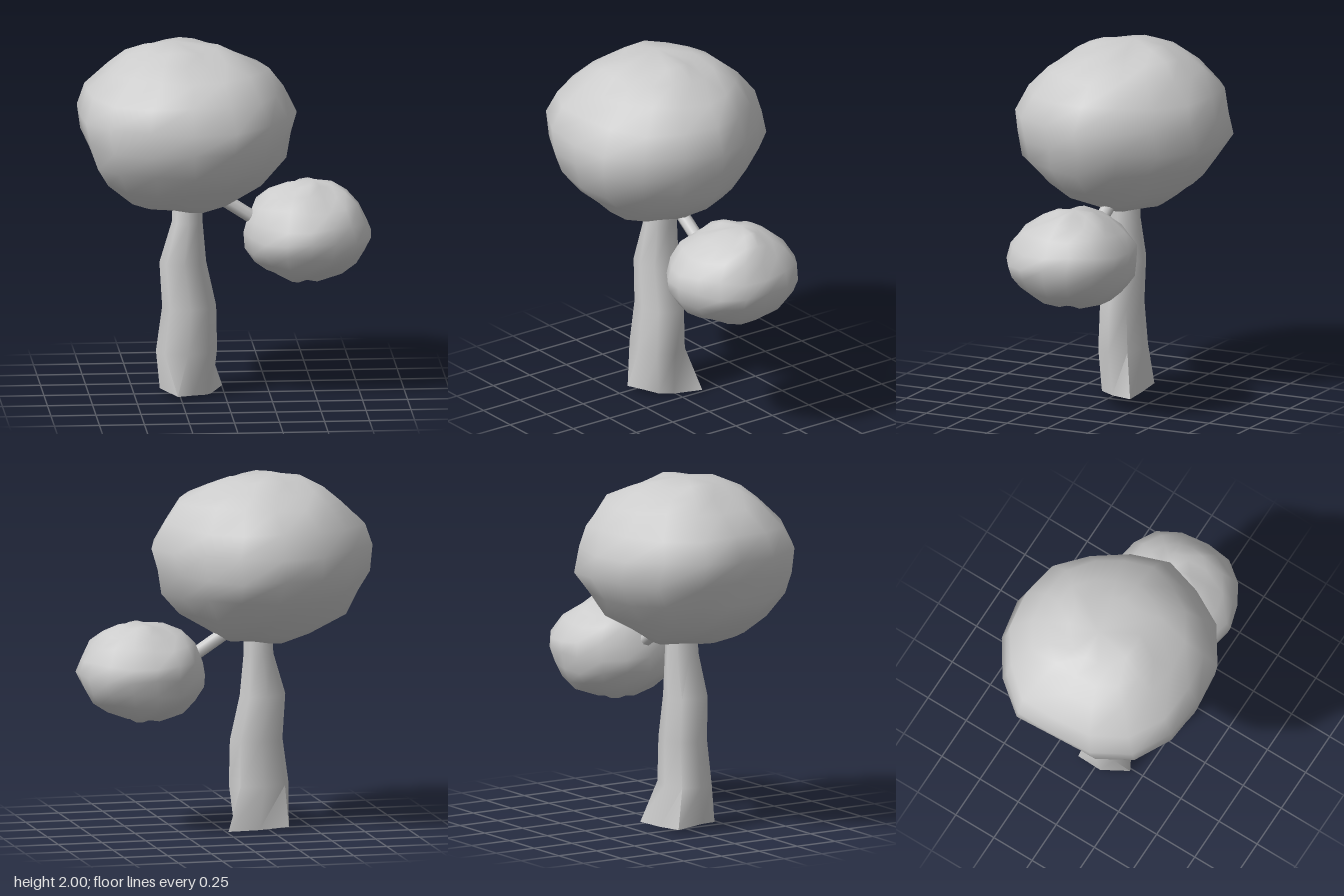
import * as THREE from 'three';
import { toCreasedNormals } from 'three/addons/utils/BufferGeometryUtils.js';

// Ring of points running from +x towards +z, fitted to a box and shaped by outline factors
function ring([y, x0, x1, z0, z1], outline, bump = 0) {
  const n = outline.length;
  return outline.map((f, j) => {
    const a = (j / n) * Math.PI * 2;
    const b = f + bump * Math.sin(3 * a + y * 17) * Math.cos(2 * a - y * 11);
    return [
      (x0 + x1) / 2 + ((x1 - x0) / 2) * b * Math.cos(a),
      y + bump * 0.5 * Math.sin(4 * a + y * 23),
      (z0 + z1) / 2 + ((z1 - z0) / 2) * b * Math.sin(a),
    ];
  });
}

// Closed skin over rings listed from bottom to top
function loft(rings, bottom, top) {
  const n = rings[0].length;
  const points = [...rings.flat(), bottom, top];
  const low = points.length - 2, high = points.length - 1;
  const last = (rings.length - 1) * n;
  const index = [];
  for (let j = 0; j < n; j++) {
    const k = (j + 1) % n;
    for (let i = 0; i < rings.length - 1; i++) {
      const a = i * n + j, b = i * n + k;
      index.push(a, a + n, b, b, a + n, b + n);
    }
    index.push(low, j, k, high, last + k, last + j);
  }
  const geometry = new THREE.BufferGeometry();
  geometry.setAttribute('position', new THREE.Float32BufferAttribute(points.flat(), 3));
  geometry.setIndex(index);
  geometry.computeVertexNormals();
  return geometry;
}

export function createModel() {
  const group = new THREE.Group();
  const material = new THREE.MeshStandardMaterial({ color: 0xcccccc });
  const add = (name, geometry) => {
    const mesh = new THREE.Mesh(geometry, material);
    mesh.name = name;
    group.add(mesh);
  };

  // Large crown: [y, left, right, back, front]
  const largeOutline = [1, 0.97, 1, 1.02, 1, 1.03, 1.06, 1.03, 0.97, 1.05, 1.02, 1.02, 1, 1.02, 0.95, 0.94];
  const largeRings = [
    [1.075, -0.42, 0.0, -0.2, 0.2],
    [1.12, -0.53, 0.08, -0.27, 0.33],
    [1.22, -0.68, 0.24, -0.41, 0.44],
    [1.34, -0.74, 0.34, -0.5, 0.55],
    [1.47, -0.79, 0.37, -0.59, 0.59],
    [1.6, -0.82, 0.4, -0.56, 0.59],
    [1.73, -0.77, 0.34, -0.53, 0.53],
    [1.85, -0.65, 0.25, -0.42, 0.41],
    [1.92, -0.55, 0.09, -0.32, 0.31],
    [1.97, -0.44, -0.03, -0.2, 0.19],
  ].map((r) => ring(r, largeOutline, 0.018));
  add('largeCrown', loft(largeRings, [-0.21, 1.065, 0], [-0.28, 2, -0.02]));

  // Small crown
  const smallOutline = [1, 1.02, 1, 0.98, 1, 1, 1.02, 0.98, 1, 1.02, 1, 1.02, 1, 1.01, 1.03, 1.02];
  const smallRings = [
    [0.645, 0.35, 0.54, -0.11, 0.1],
    [0.69, 0.24, 0.66, -0.24, 0.21],
    [0.75, 0.17, 0.74, -0.3, 0.3],
    [0.82, 0.12, 0.79, -0.34, 0.355],
    [0.9, 0.11, 0.82, -0.36, 0.365],
    [0.98, 0.125, 0.79, -0.36, 0.35],
    [1.07, 0.17, 0.75, -0.29, 0.28],
    [1.13, 0.24, 0.68, -0.21, 0.17],
    [1.175, 0.35, 0.6, -0.13, 0.07],
  ].map((r) => ring(r, smallOutline, 0.02));
  add('smallCrown', loft(smallRings, [0.44, 0.635, 0], [0.5, 1.195, -0.04]));

  // Trunk: spreading root corners below, rounder towards the top
  const base = [
    [-0.07, 0, 0.01], [-0.1, 0.01, 0.09], [-0.18, 0.015, 0.13], [-0.27, 0.02, 0.18],
    [-0.36, 0.04, 0.04], [-0.35, 0.02, -0.11], [-0.18, 0.01, -0.12], [0, 0.01, -0.135],
  ];
  const trunkOutline = [1, 0.97, 1, 1.06, 1, 1.05, 1, 1.05];
  const trunkRings = [
    [0.25, -0.38, -0.04, -0.11, 0.15],
    [0.5, -0.345, -0.045, -0.1, 0.135],
    [0.75, -0.36, -0.1, -0.1, 0.125],
    [0.98, -0.29, -0.12, -0.09, 0.1],
    [1.25, -0.28, -0.12, -0.08, 0.08],
  ].map((r) => ring(r, trunkOutline));
  const trunk = loft([base, ...trunkRings], [-0.2, 0.03, 0], [-0.2, 1.25, 0]);
  add('trunk', toCreasedNormals(trunk, 1));

  // Branch from the trunk top to the small crown
  const path = new THREE.CatmullRomCurve3([
    new THREE.Vector3(-0.18, 1.21, 0),
    new THREE.Vector3(0.01, 1.09, 0),
    new THREE.Vector3(0.3, 0.9, 0),
  ]);
  add('branch', new THREE.TubeGeometry(path, 6, 0.038, 8));

  return group;
}
